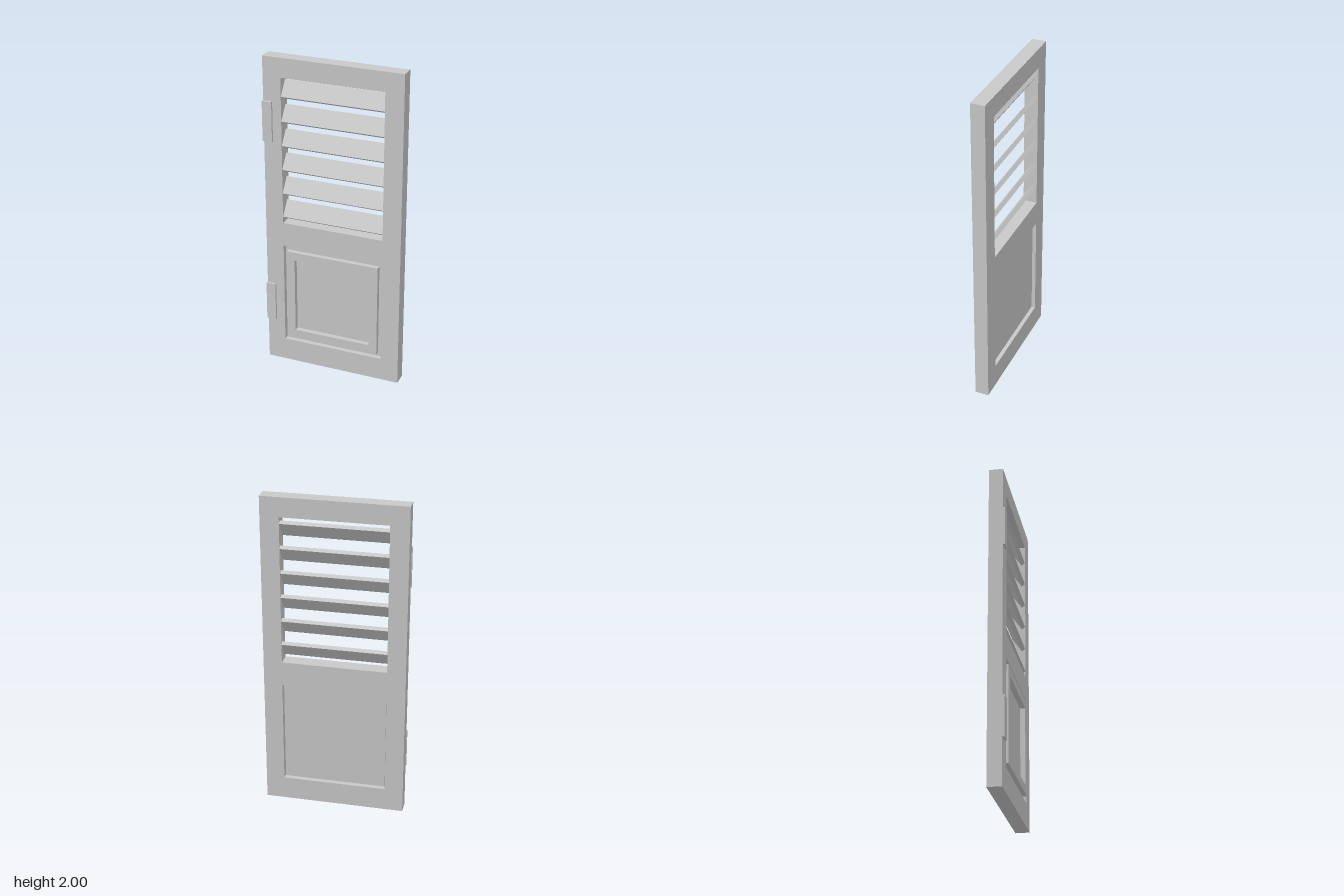
import * as THREE from 'three';

export function createModel() {
  const group = new THREE.Group();
  group.name = 'louvredDoor';
  const paint = new THREE.MeshStandardMaterial({ color: 0xc8c8c8 });
  paint.name = 'grey paint';

  const add = (name, geometry) => {
    const mesh = new THREE.Mesh(geometry, paint);
    mesh.name = name;
    group.add(mesh);
    return mesh;
  };
  const trace = (path, x0, x1, y0, y1) =>
    path.moveTo(x0, y0).lineTo(x1, y0).lineTo(x1, y1).lineTo(x0, y1).closePath();
  // Flat rectangle [x0, x1, y0, y1] with rectangular holes, from z0 to z1
  const slab = (name, outer, holes, z0, z1) => {
    const shape = trace(new THREE.Shape(), ...outer);
    holes.forEach((h) => shape.holes.push(trace(new THREE.Path(), ...h)));
    const geometry = new THREE.ExtrudeGeometry(shape, { depth: z1 - z0, bevelEnabled: false });
    return add(name, geometry.translate(0, 0, z0));
  };

  // Frame with the louvre opening above and the panel opening below
  slab('doorFrame', [-0.434, 0.435, 0, 2],
    [[-0.321, 0.321, 0.958, 1.88], [-0.321, 0.321, 0.146, 0.804]], -0.051, 0.035);

  // Lower panel with a narrow clearance, and its raised moulding
  slab('lowerPanel', [-0.316, 0.316, 0.151, 0.799], [], -0.029, 0.013);
  slab('panelMoulding', [-0.297, 0.297, 0.179, 0.773], [[-0.245, 0.245, 0.232, 0.72]], 0.012, 0.044);

  // Slats, tilted so the lower edge comes forward
  for (let i = 0; i < 6; i++) {
    const slat = add('slat', new THREE.BoxGeometry(0.642, 0.11, 0.025));
    slat.position.set(0, 1.802 - i * 0.153, -0.008);
    slat.rotation.x = -THREE.MathUtils.degToRad(35);
  }

  // Hinge plates on one edge
  for (const y of [0.405, 1.604]) {
    add('hinge', new THREE.BoxGeometry(0.061, 0.25, 0.017)).position.set(-0.407, y, 0.0405);
  }
  return group;
}
